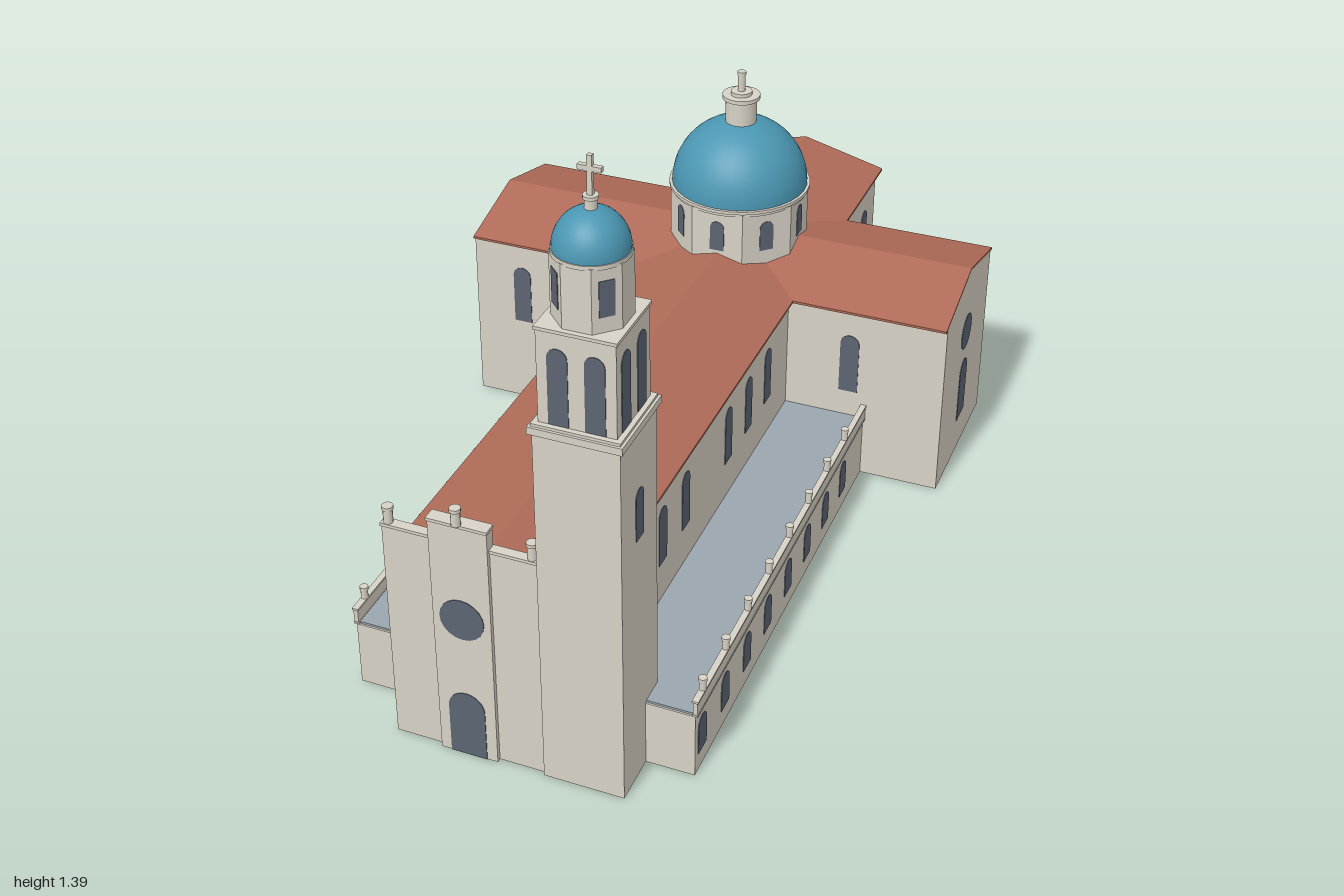
import * as THREE from 'three';

const mat = (name, color, side = THREE.FrontSide) => Object.assign(new THREE.MeshStandardMaterial({ color, side }), { name });

// Drops the triangles lying in the lowest plane, leaving the shell open below
function openBase(geo) {
  geo.computeBoundingBox();
  const p = geo.attributes.position, low = geo.boundingBox.min.y + 1e-5;
  const idx = geo.index ? [...geo.index.array] : [...Array(p.count).keys()];
  const keep = [];
  for (let i = 0; i < idx.length; i += 3) {
    const tri = idx.slice(i, i + 3);
    if (tri.some((v) => p.getY(v) > low)) keep.push(...tri);
  }
  geo.setIndex(keep);
  geo.clearGroups();
  return geo;
}

export function createModel() {
  const root = new THREE.Group();
  root.name = 'church';
  const stone = mat('stone', 0xd8d2c6, THREE.DoubleSide);
  const tile = mat('roofTile', 0xb06b58);
  const blue = mat('domeBlue', 0x4b97b3);
  const glass = mat('windowGlass', 0x5c6573);
  const lead = mat('flatRoof', 0x9aa5ae);

  const add = (name, geo, m, x = 0, y = 0, z = 0, ry = 0) => {
    const mesh = new THREE.Mesh(geo, m);
    mesh.name = name;
    mesh.position.set(x, y, z);
    mesh.rotation.y = ry;
    root.add(mesh);
    return mesh;
  };
  // Box given by its limits on each axis; those on the ground have no floor
  const box = (name, x0, x1, y0, y1, z0, z1, m = stone) => {
    const g = new THREE.BoxGeometry(x1 - x0, y1 - y0, z1 - z0);
    return add(name, y0 === 0 ? openBase(g) : g, m, (x0 + x1) / 2, (y0 + y1) / 2, (z0 + z1) / 2);
  };
  const cyl = (name, r, y0, y1, x, z, m = stone, sides = 24) =>
    add(name, new THREE.CylinderGeometry(r, r, y1 - y0, sides), m, x, (y0 + y1) / 2, z);
  // Octagonal prism with flat sides facing the axes
  const octagon = (name, apothem, y0, y1, x, z) => {
    const r = apothem / Math.cos(Math.PI / 8);
    const g = new THREE.CylinderGeometry(r, r, y1 - y0, 8).rotateY(Math.PI / 8).toNonIndexed();
    g.computeVertexNormals();
    return add(name, g, stone, x, (y0 + y1) / 2, z);
  };
  const plate = (shape) => new THREE.ExtrudeGeometry(shape, { depth: 0.003, bevelEnabled: false, curveSegments: 10 }).translate(0, 0, -0.0015);
  // Round-headed opening with its foot at (x, y, z)
  const arch = (name, w, h, x, y, z, ry = 0) => {
    const s = new THREE.Shape();
    s.moveTo(-w / 2, 0);
    s.lineTo(w / 2, 0);
    s.lineTo(w / 2, h - w / 2);
    s.absarc(0, h - w / 2, w / 2, 0, Math.PI, false);
    s.lineTo(-w / 2, 0);
    return add(name, plate(s), glass, x, y, z, ry);
  };
  const roundWindow = (name, r, x, y, z, ry = 0) => {
    const s = new THREE.Shape();
    s.absarc(0, 0, r, 0, Math.PI * 2, false);
    return add(name, plate(s), glass, x, y, z, ry);
  };
  const poly = (pts, depth) => new THREE.ExtrudeGeometry(
    new THREE.Shape(pts.map(([x, y]) => new THREE.Vector2(x, y))), { depth, bevelEnabled: false });
  const dome = (name, r, y, x, z) =>
    add(name, new THREE.SphereGeometry(r, 32, 12, 0, Math.PI * 2, 0, Math.PI / 2), blue, x, y, z);
  const finial = (name, r, y0, y1, x, z) => {
    cyl(name, r, y0, y1 - 0.008, x, z, stone, 12);
    cyl(name + 'Cap', r * 1.2, y1 - 0.008, y1, x, z, stone, 12);
  };

  const CX = 0.018, CZ = -0.468;      // crossing
  const HW = 0.203, HR = 0.217;       // half widths of walls and roofs
  const E = 0.457, R = 0.513;         // eave and ridge heights
  const Q = Math.PI / 2;

  // Nave and transept: gabled walls under thin pitched roofs
  const walls = [[-HW, 0], [HW, 0], [HW, E - 0.001], [0, R - 0.004], [-HW, E - 0.001]];
  const roof = [[-HR, E - 0.006], [0, R - 0.006], [HR, E - 0.006], [HR, E], [0, R], [-HR, E]];
  add('naveWalls', openBase(poly(walls, 1.945)), stone, CX, 0, -0.987);
  add('naveRoof', poly(roof, 1.957), tile, CX, 0, -1);
  add('transeptWalls', openBase(poly(walls, 1.231)), stone, -0.617, 0, CZ, Q);
  add('transeptRoof', poly(roof, 1.231), tile, -0.617, 0, CZ - 0.003, Q);

  // Side aisles and rear rooms with flat roofs, parapets and finials
  const bays = [0.83, 0.697, 0.563, 0.43, 0.293, 0.158, 0.024, -0.11];
  for (const [s, x, rx] of [[-1, -0.347, -0.413], [1, 0.421, 0.496]]) {
    const inner = CX + s * HW;
    const span = (a, b) => [Math.min(a, b), Math.max(a, b)];
    box('aisle', ...span(x, inner), 0, 0.156, CZ + HW, 0.87);
    box('aisleRoof', ...span(x - s * 0.006, inner), 0.155, 0.161, CZ + HW, 0.866, lead);
    box('rearRoom', ...span(rx, inner), 0, 0.156, -0.928, CZ - HW);
    box('rearRoomRoof', ...span(rx - s * 0.006, inner), 0.155, 0.159, -0.922, CZ - HW, lead);
    box('aisleParapet', x - 0.005, x + 0.005, 0.156, 0.193, CZ + HW, 0.871);
    box('parapetCoping', x - 0.007, x + 0.007, 0.193, 0.198, CZ + HW, 0.873);
    box('aisleCornice', x - 0.006, x + 0.006, 0.157, 0.162, CZ + HW, 0.872);
    for (const z of bays) {
      arch('aisleWindow', 0.046, 0.088, x, 0.043, z, s * Q);
      finial('parapetFinial', 0.0078, 0.198, 0.227, x, z);
    }
  }

  // Upper nave and transept windows
  for (const s of [-1, 1]) {
    const x = CX + s * HW;
    for (const z of [0.8, 0.547, 0.413, 0.147, 0.013, -0.12]) arch('naveWindow', 0.044, 0.142, x, 0.254, z, s * Q);
    for (const z of [-0.77, -0.895]) arch('choirWindow', 0.046, 0.16, x, 0.216, z, s * Q);
    const ex = s > 0 ? 0.614 : -0.617;
    roundWindow('transeptRoundWindow', 0.046, ex, 0.337, CZ, s * Q);
    arch('transeptTallWindow', 0.066, 0.162, ex, 0.093, CZ, s * Q);
    for (const wx of [-0.489, 0.379]) arch('transeptWindow', 0.047, 0.157, wx, 0.229, CZ + s * HW, s > 0 ? 0 : Math.PI);
  }

  // Entrance front
  const FX = -0.031;
  box('facade', FX - 0.172, FX + 0.172, 0, 0.53, 0.957, 0.975);
  box('facadeCoping', FX - 0.174, FX + 0.172, 0.53, 0.537, 0.956, 0.978);
  box('facadeCentre', FX - 0.064, FX + 0.064, 0, 0.58, 0.959, 0.985);
  box('facadeCentreCoping', FX - 0.066, FX + 0.066, 0.58, 0.587, 0.958, 0.988);
  arch('mainDoor', 0.081, 0.162, FX, 0, 0.985);
  roundWindow('roseWindow', 0.049, FX, 0.352, 0.985);
  finial('facadeFinial', 0.01, 0.537, 0.576, FX - 0.16, 0.967);
  finial('facadeFinial', 0.01, 0.537, 0.576, FX + 0.152, 0.967);
  finial('facadeCentreFinial', 0.01, 0.587, 0.628, FX, 0.986);

  // Central drum, dome and lantern
  octagon('drum', 0.157, 0.42, 0.628, CX, CZ);
  for (let i = 0; i < 8; i++) {
    const a = i * Math.PI / 4;
    arch('drumWindow', 0.036, 0.078, CX + 0.157 * Math.sin(a), 0.522, CZ + 0.157 * Math.cos(a), a);
  }
  cyl('drumCorniceLower', 0.168, 0.624, 0.633, CX, CZ, stone, 32);
  cyl('drumCornice', 0.174, 0.633, 0.641, CX, CZ, stone, 32);
  dome('dome', 0.167, 0.64, CX, CZ);
  cyl('lantern', 0.038, 0.79, 0.863, CX, CZ);
  cyl('lanternCap', 0.046, 0.863, 0.873, CX, CZ);
  cyl('lanternStep', 0.026, 0.873, 0.882, CX, CZ);
  finial('lanternFinial', 0.009, 0.882, 0.932, CX, CZ);

  // Bell tower
  const TX = 0.225, TZ = 0.895;
  const square = (name, h, y0, y1) => box(name, TX - h, TX + h, y0, y1, TZ - h, TZ + h);
  square('towerShaft', 0.0885, 0, 0.842);
  square('towerCornice', 0.0955, 0.842, 0.858);
  square('towerCorniceTop', 0.09, 0.858, 0.864);
  square('belfry', 0.079, 0.864, 1.063);
  square('belfryCornice', 0.082, 1.063, 1.07);
  octagon('towerOctagon', 0.071, 1.07, 1.203, TX, TZ);
  arch('towerWindow', 0.038, 0.114, TX + 0.0885, 0.592, TZ, Q);
  for (let i = 0; i < 4; i++) {
    const a = i * Q, d = a + Q / 2;
    for (const o of [-0.037, 0.037])
      arch('belfryWindow', 0.041, 0.165, TX + 0.079 * Math.sin(a) + o * Math.cos(a), 0.865,
        TZ + 0.079 * Math.cos(a) - o * Math.sin(a), a);
    add('octagonWindow', new THREE.BoxGeometry(0.031, 0.074, 0.003), glass,
      TX + 0.071 * Math.sin(d), 1.139, TZ + 0.071 * Math.cos(d), d);
  }
  cyl('towerDomeRing', 0.075, 1.2, 1.209, TX, TZ, stone, 32);
  dome('towerDome', 0.073, 1.209, TX, TZ).scale.y = 1.06;
  cyl('towerLantern', 0.012, 1.275, 1.305, TX, TZ, stone, 16);
  cyl('towerLanternCap', 0.015, 1.305, 1.312, TX, TZ, stone, 16);
  box('crossPost', TX - 0.005, TX + 0.005, 1.312, 1.39, TZ - 0.005, TZ + 0.005);
  box('crossArm', TX - 0.023, TX + 0.023, 1.359, 1.369, TZ - 0.005, TZ + 0.005);

  return root;
}
